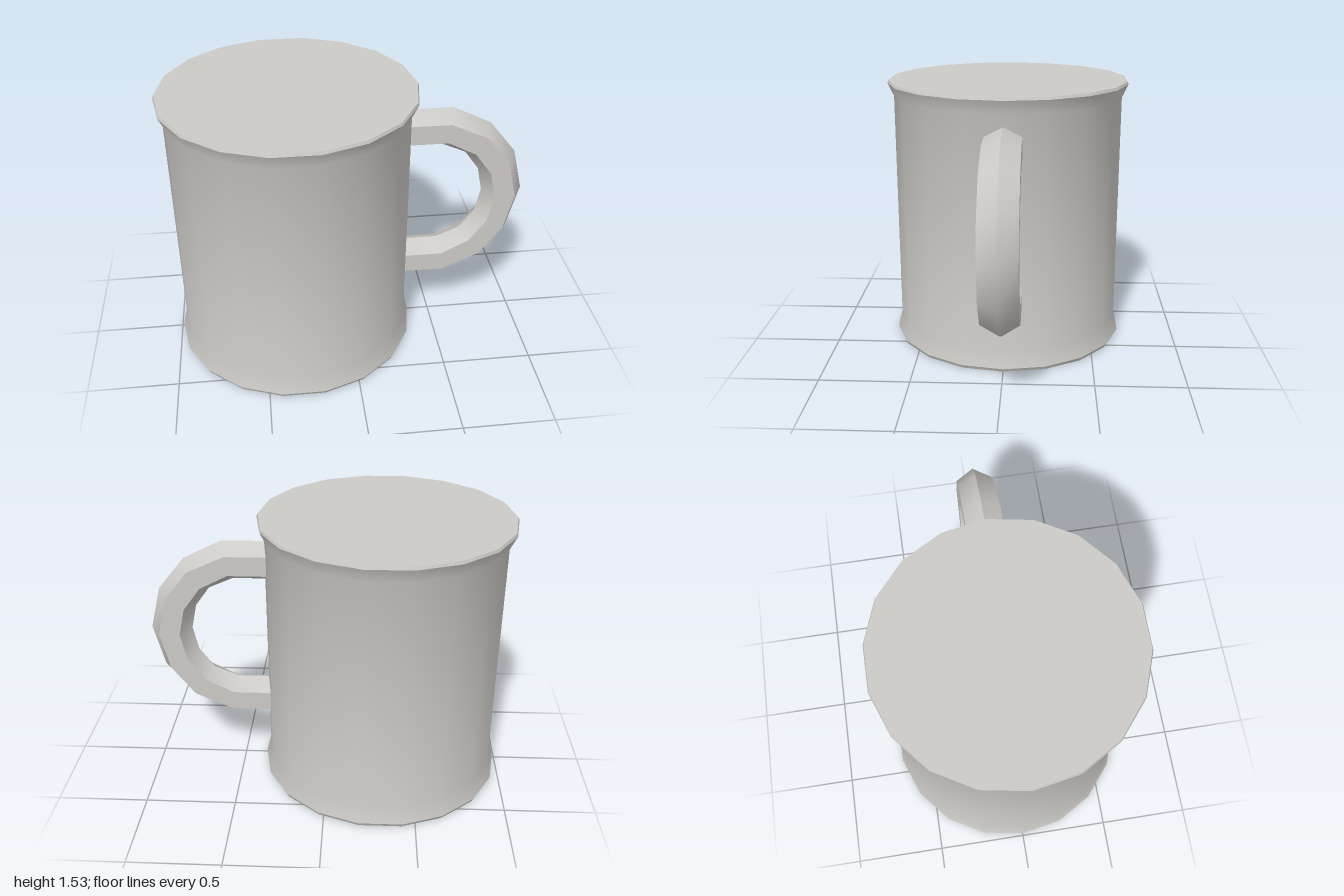
import * as THREE from 'three';
import { toCreasedNormals } from 'three/addons/utils/BufferGeometryUtils.js';

const CREASE = THREE.MathUtils.degToRad(40);

// Closed 18-sided mug body with a flared foot and rim
function bodyGeometry() {
  const profile = [
    [0, 0], [0.67, 0], [0.68, 0.02], [0.655, 0.12],
    [0.655, 1.44], [0.69, 1.515], [0.684, 1.53], [0, 1.53],
  ].map(([r, y]) => new THREE.Vector2(r, y));
  return toCreasedNormals(new THREE.LatheGeometry(profile, 18, Math.PI / 2), CREASE);
}

// Handle: a hexagonal section swept through nine stations, mirrored top to bottom
function handleGeometry() {
  const midY = 0.845, halfWidth = 0.1;
  // Each station: outer ridge, outer edge, inner edge, inner ridge as [x, height above middle]
  const upper = [
    [[0.325, 0.53], [0.325, 0.475], [0.325, 0.365], [0.325, 0.31]],
    [[0.575, 0.53], [0.55, 0.475], [0.54, 0.365], [0.525, 0.31]],
    [[0.79, 0.425], [0.76, 0.38], [0.695, 0.285], [0.66, 0.25]],
    [[0.94, 0.24], [0.89, 0.21], [0.79, 0.155], [0.74, 0.14]],
    [[1.0, 0], [0.94, 0], [0.825, 0], [0.77, 0]],
  ];
  const lower = upper.slice(0, 4).reverse().map(s => s.map(([x, h]) => [x, -h]));
  const stations = [...upper, ...lower];

  const positions = [], indices = [];
  for (const [outer, outerEdge, innerEdge, inner] of stations) {
    const ring = [
      [outer, 0], [outerEdge, 1], [innerEdge, 1],
      [inner, 0], [innerEdge, -1], [outerEdge, -1],
    ];
    for (const [[x, h], side] of ring) positions.push(x, midY + h, side * halfWidth);
  }
  for (let s = 0; s < stations.length - 1; s++) {
    for (let k = 0; k < 6; k++) {
      const a = s * 6 + k, b = s * 6 + (k + 1) % 6;
      indices.push(a, b, b + 6, a, b + 6, a + 6);
    }
  }
  // End caps against the body
  const last = (stations.length - 1) * 6;
  for (let k = 1; k < 5; k++) {
    indices.push(0, k + 1, k, last, last + k, last + k + 1);
  }
  const geometry = new THREE.BufferGeometry();
  geometry.setAttribute('position', new THREE.Float32BufferAttribute(positions, 3));
  geometry.setIndex(indices);
  return toCreasedNormals(geometry, CREASE);
}

export function createModel() {
  const group = new THREE.Group();
  group.name = 'mug';
  const grey = new THREE.MeshStandardMaterial({ color: 0xcccac6 });
  grey.name = 'warm grey';

  const body = new THREE.Mesh(bodyGeometry(), grey);
  body.name = 'body';
  body.position.x = -0.31;

  const handle = new THREE.Mesh(handleGeometry(), grey);
  handle.name = 'handle';

  group.add(body, handle);
  return group;
}
